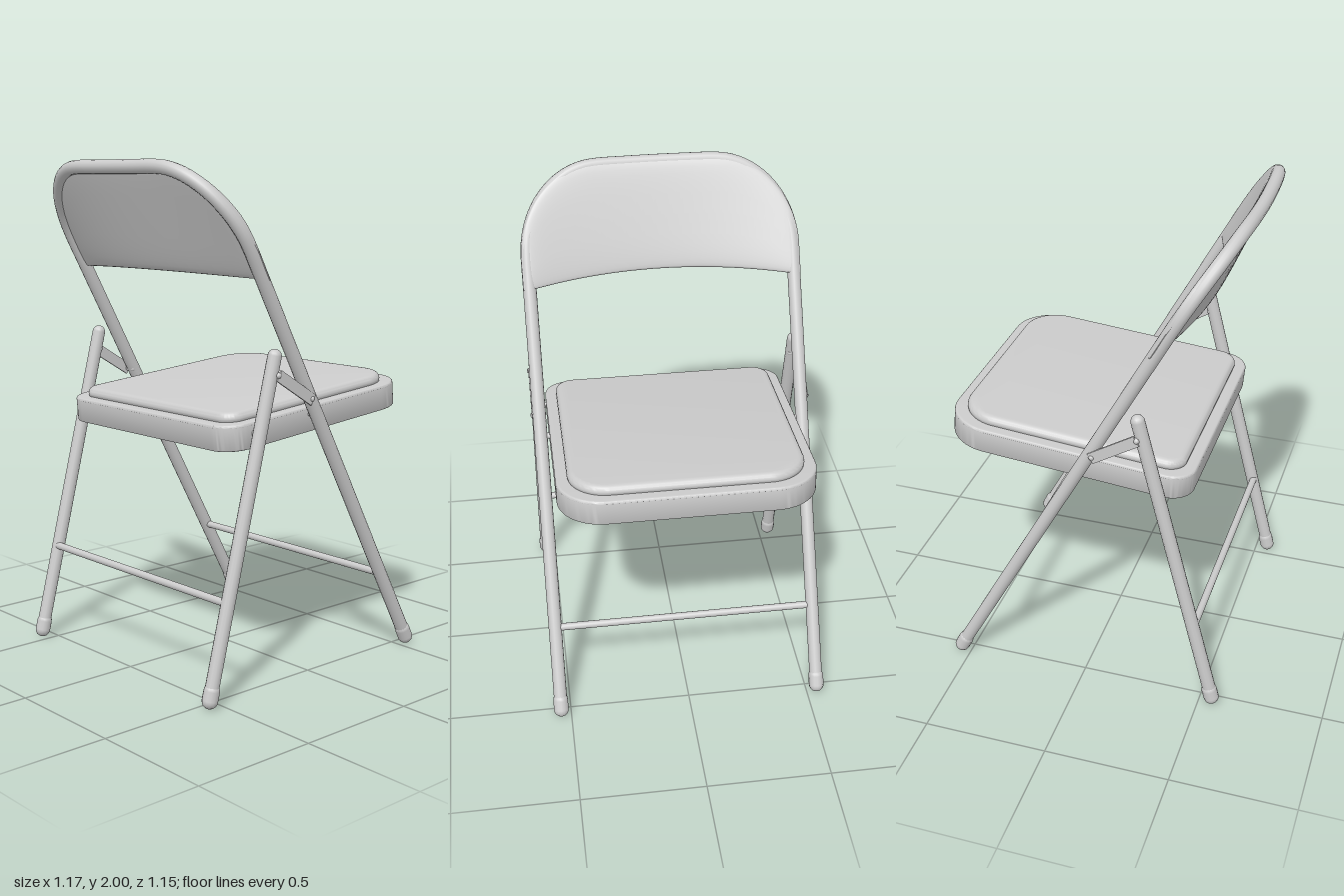
import * as THREE from 'three';
import { toCreasedNormals } from 'three/addons/utils/BufferGeometryUtils.js';

const V = (x, y, z) => new THREE.Vector3(x, y, z);
const HALF = 0.541;  // half distance between the side tubes
const TUBE = 0.027;  // tube radius

// Lean of the main frame, and how far the backrest bows backwards
const leanX = (y) => 0.54 - 0.542 * (y - 0.03);
const bow = (y, z) => {
  const t = THREE.MathUtils.clamp((y - 1.57) / 0.4, 0, 1);
  return (0.085 - 0.045 * t) * Math.max(0, 1 - (z / HALF) ** 2);
};

// Rounded rectangle with larger corners at the front (+x)
function seatOutline(inset, Type = THREE.Shape) {
  const w = 0.505 - inset, h = 0.505 - inset;
  const rf = 0.18 - inset * 0.6, rb = 0.1 - inset * 0.6;
  const s = new Type();
  s.moveTo(-w + rb, -h);
  s.lineTo(w - rf, -h);
  s.absarc(w - rf, -h + rf, rf, -Math.PI / 2, 0);
  s.lineTo(w, h - rf);
  s.absarc(w - rf, h - rf, rf, 0, Math.PI / 2);
  s.lineTo(-w + rb, h);
  s.absarc(-w + rb, h - rb, rb, Math.PI / 2, Math.PI);
  s.lineTo(-w, -h + rb);
  s.absarc(-w + rb, -h + rb, rb, Math.PI, Math.PI * 1.5);
  return s;
}

// Horizontal slab between two heights with rounded edges
function slab(shape, y0, y1, bevel) {
  const g = new THREE.ExtrudeGeometry(shape, {
    depth: y1 - y0 - 2 * bevel, curveSegments: 10,
    bevelSize: bevel, bevelThickness: bevel, bevelOffset: -bevel, bevelSegments: 4,
  });
  g.rotateX(-Math.PI / 2).translate(0, y0 + bevel, 0);
  return toCreasedNormals(g, 0.7);
}

// Backrest panel: rounded cross-sections swept from side to side, lapping over the hoop
function panelGeometry() {
  const cols = 48, ring = 32, width = 0.567, pos = [], idx = [];
  const soft = (c, p) => Math.sign(c) * Math.abs(c) ** p;
  for (let i = 0; i <= cols; i++) {
    const u = -Math.cos((i / cols) * Math.PI), z = width * u;
    const d = Math.max(0, Math.abs(z) - 0.24) / 0.327;
    const top = 1.672 + 0.324 * Math.sqrt(Math.max(0, 1 - d * d));
    const bottom = 1.582 - 0.016 * u * u;
    const mid = (top + bottom) / 2, half = (top - bottom) / 2;
    const thick = 0.023 * Math.sqrt(Math.max(0, 1 - u ** 16));
    for (let j = 0; j < ring; j++) {
      const a = (j / ring) * Math.PI * 2;
      const y = mid + half * soft(Math.sin(a), 0.6);
      pos.push(leanX(y) - bow(y, z) + 0.012 + thick * soft(Math.cos(a), 0.35), y, z);
    }
  }
  for (let i = 0; i < cols; i++) {
    for (let j = 0; j < ring; j++) {
      const k = (j + 1) % ring;
      const a = i * ring + j, b = i * ring + k, c = a + ring, d = b + ring;
      idx.push(a, b, c, b, d, c);
    }
  }
  const g = new THREE.BufferGeometry();
  g.setAttribute('position', new THREE.Float32BufferAttribute(pos, 3));
  g.setIndex(idx);
  g.computeVertexNormals();
  return g;
}

export function createModel() {
  const model = new THREE.Group();
  model.name = 'foldingChair';
  const mat = new THREE.MeshStandardMaterial({ color: 0xcccccc });

  const add = (name, geo, parent = model) => {
    const m = new THREE.Mesh(geo, mat);
    m.name = name;
    parent.add(m);
    return m;
  };
  // Round-ended rod between two points
  const rod = (name, a, b, r) => {
    const dir = b.clone().sub(a);
    const m = add(name, new THREE.CapsuleGeometry(r, dir.length(), 5, 14));
    m.position.copy(a).add(b).multiplyScalar(0.5);
    m.quaternion.setFromUnitVectors(V(0, 1, 0), dir.normalize());
    return m;
  };

  // Main frame: front legs and backrest hoop in one bent tube
  const side = [0.04, 0.4, 0.8, 1.2, 1.5, 1.6].map((y) => V(leanX(y), y, HALF));
  for (let i = 0; i <= 8; i++) {
    const a = (i / 8) * Math.PI / 2;
    const y = 1.675 + 0.298 * Math.sin(a), z = 0.24 + (HALF - 0.24) * Math.cos(a);
    side.push(V(leanX(y) - bow(y, z), y, z));
  }
  side.push(V(leanX(1.973) - bow(1.973, 0.12), 1.973, 0.12));
  const middle = V(leanX(1.973) - bow(1.973, 0), 1.973, 0);
  const mirrored = side.map((p) => V(p.x, p.y, -p.z)).reverse();
  const path = new THREE.CatmullRomCurve3([...side, middle, ...mirrored], false, 'centripetal');
  add('mainFrame', new THREE.TubeGeometry(path, 200, TUBE, 14));
  add('backrest', panelGeometry());

  // Parts on both sides
  for (const s of [1, -1]) {
    const z = s * HALF;
    rod('rearLeg', V(-0.548, 0.05, z), V(-0.232, 1.285, z), TUBE);
    rod('rearFoot', V(-0.551, 0.035, z), V(-0.542, 0.07, z), 0.031);
    rod('frontFoot', V(0.537, 0.035, z), V(0.519, 0.07, z), 0.031);

    // Folding link from rear leg to main frame, with its rivets
    const link = add('foldingLink', new THREE.BoxGeometry(0.21, 0.045, 0.008));
    link.position.set(-0.145, 1.16, s * 0.567);
    link.rotation.z = -0.55;
    for (const [x, y] of [[-0.235, 1.215], [-0.06, 1.11]]) {
      rod('linkRivet', V(x, y, s * 0.53), V(x, y, s * 0.565), 0.012);
    }
    // Seat pivots
    rod('frontPivot', V(leanX(1.04), 1.04, s * 0.49), V(leanX(1.04), 1.04, s * 0.55), 0.012);
    rod('rearPivot', V(-0.3, 1.0, s * 0.49), V(-0.3, 1.0, s * 0.55), 0.012);
  }

  // Crossbars between the legs
  rod('frontCrossbar', V(leanX(0.34), 0.34, -HALF), V(leanX(0.34), 0.34, HALF), 0.015);
  rod('rearCrossbar', V(-0.471, 0.39, -HALF), V(-0.471, 0.39, HALF), 0.015);

  // Seat: hollow pan with a thin skirt, cross ribs below and a cushion on top
  const seat = new THREE.Group();
  seat.name = 'seat';
  seat.position.set(0.083, 0.977, 0);
  seat.rotation.z = 0.088;
  model.add(seat);

  const skirt = seatOutline(0);
  skirt.holes.push(seatOutline(0.02, THREE.Path));
  add('seatSkirt', slab(skirt, 0, 0.095, 0.006), seat);
  add('seatPan', slab(seatOutline(0), 0.08, 0.1, 0.0095), seat);
  add('seatCushion', slab(seatOutline(0.045), 0.085, 0.135, 0.024), seat);
  for (let i = 0; i < 4; i++) {
    const a = Math.PI / 4 + (i * Math.PI) / 2;
    const rib = add('panRib', new THREE.BoxGeometry(0.36, 0.008, 0.03), seat);
    rib.position.set(0.27 * Math.cos(a), 0.079, -0.27 * Math.sin(a));
    rib.rotation.y = a;
  }
  return model;
}
